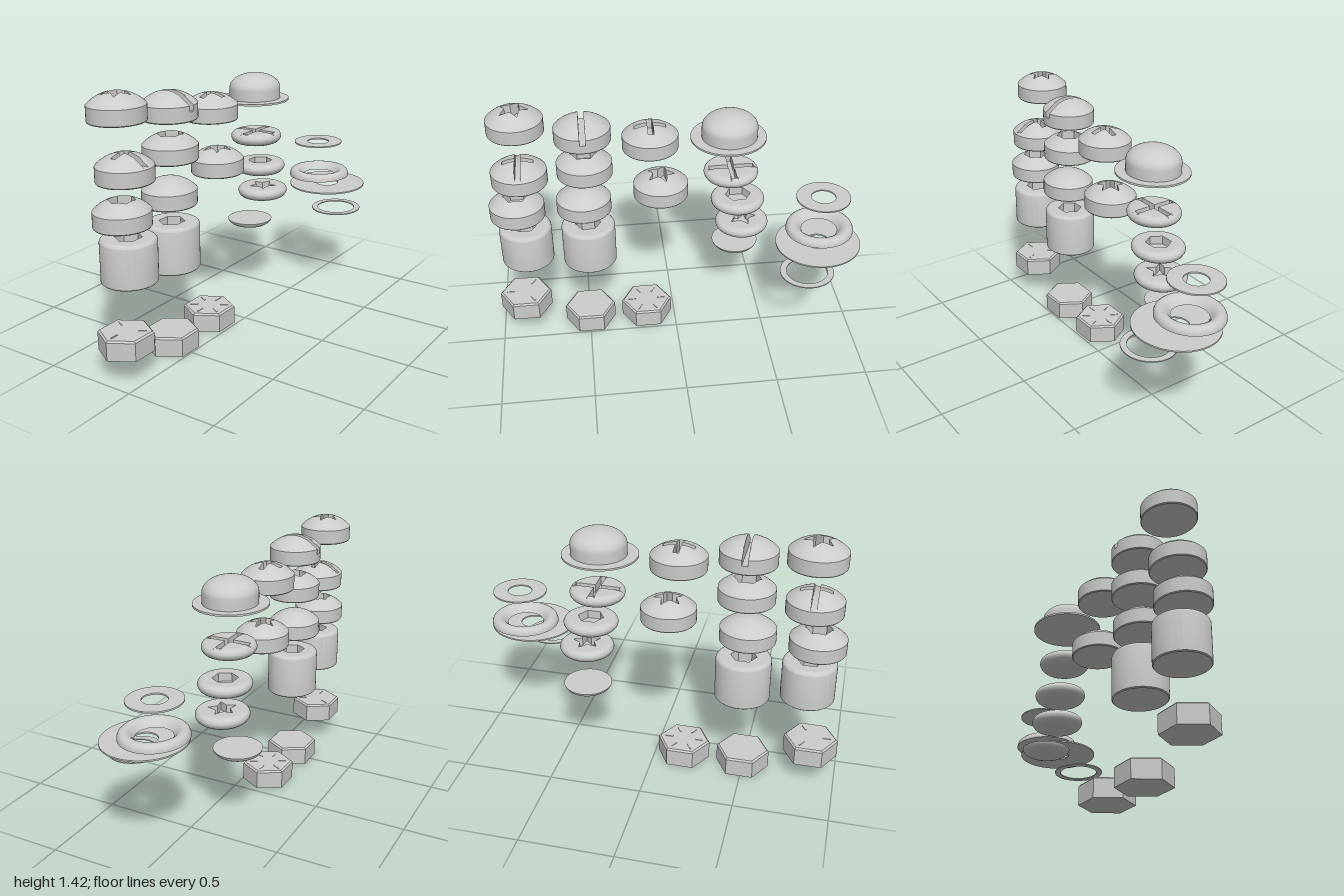
import * as THREE from 'three';
import { toCreasedNormals } from 'three/addons/utils/BufferGeometryUtils.js';

const R = 0.147, SQUASH = 0.942, X = -0.13;
const grey = new THREE.MeshStandardMaterial({ color: 0xcccccc });
const facet = new THREE.MeshStandardMaterial({ color: 0xcccccc, flatShading: true });

// Recess outlines as corners [x, z] around the centre
const polygon = (n, radius) => Array.from({ length: n }, (_, i) => {
  const a = -Math.PI / 2 + (i * 2 * Math.PI) / n, r = radius(i);
  return [Math.cos(a) * r, Math.sin(a) * r];
});
const hexSocket = polygon(6, () => 0.07);
const star = polygon(10, (i) => (i % 2 ? 0.04 : 0.08));
const W = 0.015;
const cross = (ax, az) => [
  [ax, -W], [ax, W], [W, W], [W, az], [-W, az], [-W, W],
  [-ax, W], [-ax, -W], [-W, -W], [-W, -az], [W, -az], [W, -W],
];
const slot = [[0.4, -W], [0.4, W], [-0.4, W], [-0.4, -W]];

// Distance from the centre to the outline along angle t
function reach(corners, t) {
  const c = Math.cos(t), s = Math.sin(t);
  let best = 0;
  corners.forEach(([x1, z1], i) => {
    const [x2, z2] = corners[(i + 1) % corners.length];
    const ex = x2 - x1, ez = z2 - z1, den = c * ez - s * ex;
    if (Math.abs(den) < 1e-9) return;
    const d = (x1 * ez - z1 * ex) / den, u = (x1 * s - z1 * c) / den;
    if (d > 0 && u > -1e-6 && u < 1 + 1e-6) best = Math.max(best, d);
  });
  return best;
}

// Round head swept from radial sections: recess floor, wall, top, side, underside
function headGeometry(top, side, corners, floor, radius = R) {
  const angles = Array.from({ length: 64 }, (_, i) => (i * Math.PI) / 32 - Math.PI);
  if (corners) {
    corners.forEach(([x, z]) => angles.push(Math.atan2(z, x)));
    const a = Math.asin(W / radius);
    for (const t of [a, -a, Math.PI - a, a - Math.PI]) angles.push(t - 1e-4, t + 1e-4);
  } else floor = top(0);
  angles.sort((a, b) => a - b);
  let cap = radius;
  while (corners && top(cap) < floor) cap -= 0.0005;
  const sections = angles.map((t) => {
    const hit = corners ? reach(corners, t) : 0;
    const b = Math.min(hit, cap), open = hit >= cap;
    const path = [[0, floor], [b, floor]];
    for (let k = 0; k <= 14; k++) {
      const r = b + (radius - b) * Math.sin((k / 14) * Math.PI / 2);
      path.push([r, open ? Math.min(floor, top(r)) : top(r)]);
    }
    path.push(...side, [0, 0]);
    return path.map(([r, y]) => [Math.cos(t) * r, y, Math.sin(t) * r]);
  });
  const pos = [];
  sections.forEach((a, i) => {
    const b = sections[(i + 1) % sections.length];
    for (let k = 0; k < a.length - 1; k++) {
      pos.push(...a[k], ...b[k], ...a[k + 1], ...b[k], ...b[k + 1], ...a[k + 1]);
    }
  });
  const g = new THREE.BufferGeometry();
  g.setAttribute('position', new THREE.Float32BufferAttribute(pos, 3));
  return toCreasedNormals(g, 0.6);
}

// Top surfaces: shallow dome, round dome, flat top with rounded rim
const dome = (r) => 0.142 - 0.205 + Math.sqrt(0.205 ** 2 - r * r);
const roundDome = (r) => 0.066 + 0.081 * Math.sqrt(Math.max(0, 1 - (r / R) ** 2));
const rimmed = (h, radius, e) => (r) =>
  r < radius - e ? h : h - e + Math.sqrt(Math.max(0, e * e - (r - radius + e) ** 2));

function lathe(points, segments = 64) {
  const g = new THREE.LatheGeometry(points.map(([r, y]) => new THREE.Vector2(r, y)), segments);
  return toCreasedNormals(g, 0.6);
}
const ring = (inner, outer, t) =>
  lathe([[inner, 0], [outer, 0], [outer, t], [inner, t], [inner, 0]]);

export function createModel() {
  const group = new THREE.Group();
  const add = (name, geometry, x, y, z, sx = SQUASH, material = grey) => {
    const m = new THREE.Mesh(geometry, material);
    m.name = name;
    m.position.set(x, y, z);
    m.scale.x = sx;
    group.add(m);
    return m;
  };

  // Domed heads: name, outline, recess floor, x, y, z
  const domeSide = [[R, 0.005], [R - 0.004, 0]];
  [
    ['starDomeHead', star, 0.07, -0.17, 1.28, 0.808],
    ['slottedDomeHead', slot, 0.05, X, 1.232, 0.471],
    ['crossDomeHead', cross(0.082, 0.082), 0.07, X, 1.163, 0.122],
    ['slottedCrossDomeHead', cross(0.4, 0.08), 0.086, X, 0.997, 0.813],
    ['hexSocketDomeHead', hexSocket, 0.06, X, 1.024, 0.471],
    ['smallStarDomeHead', star, 0.07, X, 0.861, 0.07],
    ['lowerHexSocketDomeHead', hexSocket, 0.06, X, 0.784, 0.845],
    ['plainDomeHead', null, 0, X, 0.797, 0.487],
  ].forEach(([name, shape, floor, x, y, z]) =>
    add(name, headGeometry(dome, domeSide, shape, floor), x, y, z));

  // Flanged round head
  add('flangedHead', headGeometry(roundDome, domeSide, null), X, 1.195, -0.295);
  add('flange', lathe([[0, 0], [0.2, 0], [0.2, 0.01], [0, 0.01]]), X, 1.195, -0.289);

  // Low button heads with rounded rims
  const buttonTop = rimmed(0.065, R, 0.03);
  const buttonSide = [[R - 0.003, 0.024], [R - 0.01, 0.013], [R - 0.02, 0.005], [R - 0.034, 0]];
  [
    ['crossButtonHead', cross(0.12, 0.12), 0.947, -0.31],
    ['hexSocketButtonHead', hexSocket, 0.763, -0.353],
    ['starButtonHead', star, 0.607, -0.381],
  ].forEach(([name, shape, y, z]) =>
    add(name, headGeometry(buttonTop, buttonSide, shape, 0.02), X, y, z));

  // Plain shallow head with a flat top
  add('plainShallowHead', lathe([[0, 0], [0.085, 0], [0.105, 0.005], [0.12, 0.015],
    [0.128, 0.026], [0.13, 0.033], [0, 0.033]]), -0.205, 0.427, -0.36, 0.98);

  // Tall socket cap heads
  const cap = (name, radius, h, x, y, z, sx) => add(name,
    headGeometry(rimmed(h, radius, 0.022), [[radius, 0.005], [radius - 0.005, 0]],
      hexSocket, h * 0.5, radius), x, y, z, sx);
  cap('frontSocketCapHead', 0.142, 0.225, -0.125, 0.497, 0.815, 0.985);
  cap('rearSocketCapHead', R, 0.247, X, 0.454, 0.473, SQUASH);

  // Hexagonal heads with raised radial marks
  const hex = lathe([[0, 0], [0.144, 0], [0.144, 0.097], [0.134, 0.106], [0, 0.106]], 6);
  [
    ['threeMarkHexHead', 3, 0.137, 0.857],
    ['plainHexHead', 0, 0.002, 0.494],
    ['sixMarkHexHead', 6, 0.008, 0.163],
  ].forEach(([name, marks, y, z]) => {
    const head = add(name, hex, X, y, z, 0.97, facet);
    for (let i = 0; i < marks; i++) {
      const a = (i * 2 * Math.PI) / marks;
      const mark = new THREE.Mesh(new THREE.BoxGeometry(0.007, 0.006, 0.045), facet);
      mark.name = 'radialMark';
      mark.position.set(Math.sin(a) * 0.085, 0.106, Math.cos(a) * 0.085);
      mark.rotation.y = a;
      head.add(mark);
    }
  });

  // Washers
  add('flatWasher', ring(0.066, R, 0.008), 0, 0.855, -0.8);
  add('fenderWasher', ring(0.068, 0.231, 0.008), 0.085, 0.617, -0.769);
  add('thinRingWasher', ring(0.112, R, 0.006), 0.19, 0.503, -0.695);
  add('finishingWasher', lathe([[0.098, 0], [0.185, 0], [0.184, 0.014], [0.178, 0.028],
    [0.167, 0.037], [0.152, 0.04], [0.136, 0.037], [0.122, 0.028], [0.108, 0.013],
    [0.098, 0]]), 0.018, 0.66, -0.789);

  return group;
}
